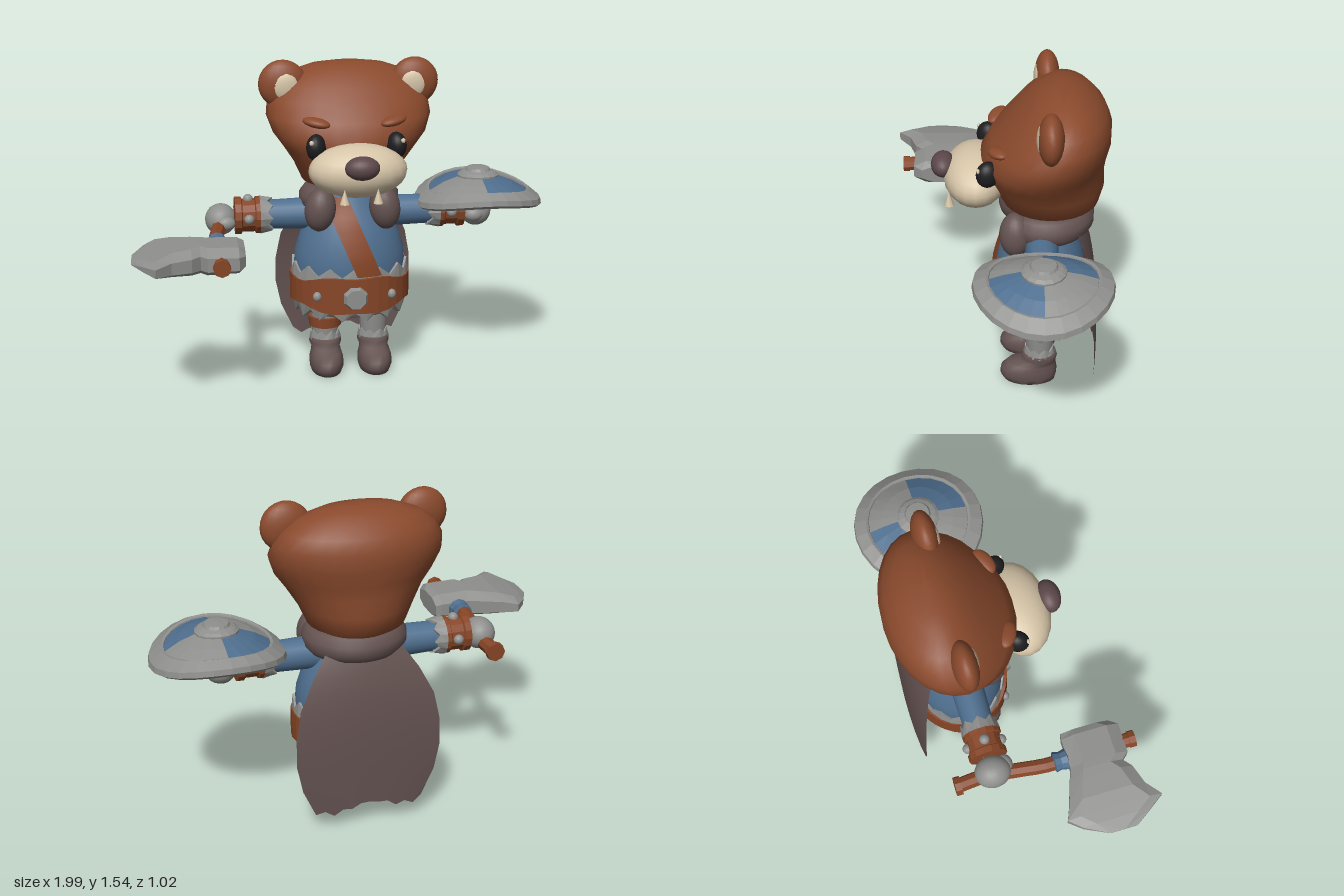
import * as THREE from 'three';

const mat = (name, color, side = THREE.FrontSide) =>
  Object.assign(new THREE.MeshStandardMaterial({ color, side }), { name });
const FUR = mat('fur brown', 0x8a4a2d), LEATHER = mat('leather brown', 0x874627), CREAM = mat('cream', 0xd6c5a8);
const CLOTH = mat('tunic blue', 0x4f6f8f), STEEL = mat('steel grey', 0x8f8f8d);
const DARK = mat('dark brown', 0x635250, THREE.DoubleSide), NOSE = mat('nose', 0x5c474a), BLACK = mat('eye black', 0x1d1d20);
const V = (x, y, z) => new THREE.Vector3(x, y, z);
const V2 = (a) => a.map(([x, y]) => new THREE.Vector2(x, y));

function add(parent, name, geo, material, pos = [0, 0, 0], scale = [1, 1, 1], rot = [0, 0, 0]) {
  const m = new THREE.Mesh(geo, material);
  m.name = name;
  m.position.set(...pos); m.scale.set(...scale); m.rotation.set(...rot);
  parent.add(m);
  return m;
}
const ball = (parent, name, material, pos, radii, rot) =>
  add(parent, name, new THREE.SphereGeometry(1, 20, 14), material, pos, radii, rot);
function flat(geo) {
  const g = geo.index ? geo.toNonIndexed() : geo;
  g.computeVertexNormals();
  return g;
}

// Skin over a list of closed rings, optionally capped at both ends
function loft(rings, caps = true) {
  const n = rings[0].length, pts = rings.flat(), idx = [];
  for (let i = 0; i < rings.length - 1; i++)
    for (let j = 0; j < n; j++) {
      const a = i * n + j, b = i * n + (j + 1) % n;
      idx.push(a, a + n, b, b, a + n, b + n);
    }
  if (caps) {
    const top = (rings.length - 1) * n;
    for (let j = 1; j < n - 1; j++) idx.push(0, j, j + 1, top, top + j + 1, top + j);
  }
  const g = new THREE.BufferGeometry().setFromPoints(pts);
  g.setIndex(idx);
  g.computeVertexNormals();
  return g;
}
// Upright body from rows of [height, half width, front z, back z]
const stack = (rows, n = 28) => loft(rows.map(([y, w, f, b]) => Array.from({ length: n }, (_, j) => {
  const a = j / n * Math.PI * 2;
  return V(w * Math.cos(a), y, (f + b) / 2 + (f - b) / 2 * Math.sin(a));
})));
// Thick ring around y, with its two edges given as functions of the corner index and angle
function band(r0, r1, lo, hi, n, t = 0.025) {
  const ring = (r, fy) => Array.from({ length: n }, (_, j) => {
    const a = j / n * Math.PI * 2;
    return V(r * Math.cos(a), fy(j, a), r * Math.sin(a));
  });
  const first = ring(r0, lo);
  return flat(loft([first, ring(r1, hi), ring(r1 - t, hi), ring(r0 - t, lo), first], false));
}
const zig = (y, amp) => (j) => y + (j % 2) * amp;
const level = (y) => () => y;

function buildHead(body) {
  const head = new THREE.Group(); head.name = 'head'; body.add(head);
  add(head, 'skull', stack([
    [0.92, 0.15, -0.12, -0.40], [0.96, 0.225, -0.02, -0.465], [1.05, 0.265, 0.03, -0.488], [1.13, 0.315, 0.07, -0.482],
    [1.2, 0.365, 0.08, -0.492], [1.28, 0.395, 0.035, -0.51], [1.36, 0.385, -0.04, -0.51], [1.42, 0.345, -0.09, -0.485],
    [1.47, 0.28, -0.15, -0.44], [1.505, 0.18, -0.2, -0.38], [1.518, 0.08, -0.25, -0.33]]), FUR);
  ball(head, 'muzzle', CREAM, [0, 1.08, 0.1], [0.23, 0.125, 0.15]);
  ball(head, 'nose', NOSE, [0, 1.128, 0.25], [0.08, 0.055, 0.056]);
  for (const s of [-1, 1]) {
    ball(head, 'ear', FUR, [s * 0.315, 1.425, -0.228], [0.115, 0.115, 0.058]);
    ball(head, 'innerEar', CREAM, [s * 0.305, 1.42, -0.187], [0.062, 0.066, 0.022]);
    ball(head, 'eye', BLACK, [s * 0.187, 1.18, 0.045], [0.045, 0.062, 0.055], [0, s * 0.4, 0]);
    ball(head, 'eyeGlint', CREAM, [s * 0.212, 1.21, 0.088], [0.011, 0.012, 0.008]);
    ball(head, 'brow', FUR, [s * 0.18, 1.285, 0.0], [0.068, 0.023, 0.04], [0, s * 0.45, s * 0.15]);
    add(head, 'fang', new THREE.ConeGeometry(0.023, 0.07, 8), CREAM, [s * 0.077, 0.99, 0.222]);
  }
}

// Tunic outline, also followed by the shoulder strap
const TUNIC = [[0.27, 0.45], [0.272, 0.55], [0.265, 0.62], [0.24, 0.7], [0.205, 0.78], [0.16, 0.85], [0.12, 0.94]];
function tunicRadius(y) {
  const i = Math.max(1, TUNIC.findIndex((p) => p[1] >= y));
  const [r0, y0] = TUNIC[i - 1], [r1, y1] = TUNIC[i];
  return r0 + (r1 - r0) * (y - y0) / (y1 - y0);
}

function buildTorso(body) {
  const torso = new THREE.Group(); torso.name = 'torso'; torso.position.z = -0.2; body.add(torso);
  const squash = [1, 1, 0.8];
  add(torso, 'tunic', new THREE.LatheGeometry(V2(TUNIC), 28), CLOTH, [0, 0, 0], squash);
  add(torso, 'mailSkirt', new THREE.LatheGeometry(V2([[0.001, 0.27], [0.13, 0.28], [0.22, 0.31], [0.26, 0.36], [0.27, 0.42]]), 24),
    STEEL, [0, 0, 0], squash);
  add(torso, 'upperTrim', band(0.29, 0.282, level(0.48), zig(0.525, 0.045), 28), STEEL, [0, 0, 0], squash);
  add(torso, 'lowerTrim', band(0.265, 0.285, zig(0.3, 0.045), level(0.39), 28), STEEL, [0, 0, 0], squash);
  // Belt widens at the front
  const bulge = (a) => 0.03 * Math.max(0, Math.sin(a)) ** 4 + 0.008 * Math.cos(6 * a);
  add(torso, 'belt', band(0.293, 0.293, (j, a) => 0.375 - bulge(a), (j, a) => 0.5 + bulge(a), 32, 0.04), LEATHER,
    [0, 0, 0], [1, 1, 0.83]);
  add(torso, 'buckle', flat(new THREE.CylinderGeometry(0.05, 0.066, 0.03, 8)), STEEL, [0, 0.43, 0.247],
    [1, 1, 1], [Math.PI / 2, Math.PI / 8, 0]);
  for (const s of [-1, 1]) ball(torso, 'beltStud', STEEL, [s * 0.18, 0.432, 0.195], [0.021, 0.024, 0.02]);
  // Diagonal strap, front and back
  for (const s of [1, -1]) {
    const g = new THREE.PlaneGeometry(1, 1, 4, 12), p = g.attributes.position;
    for (let i = 0; i < p.count; i++) {
      const y = 0.715 + p.getY(i) * 0.37, x = -0.085 + (0.9 - y) * 0.42 + p.getX(i) * 0.12;
      const r = tunicRadius(y) + 0.015;
      p.setXYZ(i, s * x, y, 0.8 * Math.sqrt(Math.max(0.0004, r * r - x * x)));
    }
    g.computeVertexNormals();
    if (s < 0) {
      // Turned half way round so the strap runs over the same shoulder
      add(torso, 'strapBack', g, LEATHER, [0, 0, 0], [1, 1, 1], [0, Math.PI, 0]);
      for (let i = 0; i < p.count; i++) p.setX(i, p.getX(i));
      g.index.array.reverse();
      g.computeVertexNormals();
    } else add(torso, 'strapFront', g, LEATHER);
  }
  // Fur collar, open at the front
  const path = new THREE.CatmullRomCurve3(Array.from({ length: 9 }, (_, i) => {
    const a = -0.9 + i / 8 * (Math.PI + 1.8);
    return V(0.175 * Math.cos(a), 0.87, -0.02 - 0.16 * Math.sin(a));
  }));
  add(torso, 'collar', new THREE.TubeGeometry(path, 24, 0.07, 10), DARK);
  for (const s of [-1, 1])
    ball(torso, 'collarPuff', DARK, [s * 0.155, 0.845, 0.12], [0.075, 0.107, 0.075], [0, 0, s * 0.12]);
}

function buildCape(body) {
  const widths = [0.255, 0.315, 0.342, 0.34, 0.315, 0.25, 0.16];
  const g = new THREE.PlaneGeometry(1, 1, 12, 12), p = g.attributes.position;
  for (let i = 0; i < p.count; i++) {
    const u = p.getX(i) * 2, v = p.getY(i) + 0.5, k = Math.min(5, Math.floor(v * 6));
    const w = THREE.MathUtils.lerp(widths[k], widths[k + 1], v * 6 - k);
    const hem = 0.085 + 0.04 * Math.cos(u * 2.2) ** 2 + 0.012 * Math.sin(u * 17);
    p.setXYZ(i, u * w, THREE.MathUtils.lerp(hem, 0.88, v), -0.472 + 0.1 * v ** 4 + 0.018 * u * u);
  }
  g.computeVertexNormals();
  add(body, 'cape', g, DARK);
}

function buildLimbs(body) {
  for (const s of [-1, 1]) {
    const leg = new THREE.Group(); leg.name = 'leg'; leg.position.x = s * 0.12; body.add(leg);
    add(leg, 'thigh', new THREE.CylinderGeometry(0.078, 0.062, 0.24, 16), STEEL, [0, 0.27, -0.2]);
    add(leg, 'bootTrim', band(0.078, 0.07, level(0.15), zig(0.18, 0.02), 16), STEEL, [0, 0, -0.2]);
    add(leg, 'boot', stack([[0, 0.074, -0.03, -0.278], [0.03, 0.083, -0.012, -0.285], [0.065, 0.083, -0.015, -0.285],
      [0.095, 0.074, -0.045, -0.28], [0.11, 0.07, -0.11, -0.28], [0.135, 0.08, -0.116, -0.286], [0.16, 0.076, -0.122, -0.28]], 20), DARK);
    if (s < 0) add(leg, 'kneeStrap', new THREE.CylinderGeometry(0.084, 0.08, 0.05, 14), LEATHER, [0, 0.245, -0.2]);

    // Arm runs outwards along its own y axis
    const arm = new THREE.Group(); arm.name = 'arm';
    arm.position.set(0, 0.795, -0.2); arm.rotation.z = -s * Math.PI / 2; body.add(arm);
    add(arm, 'sleeve', new THREE.CylinderGeometry(0.07, 0.08, 0.34, 18), CLOTH, [0, 0.25, 0]);
    add(arm, 'cuff', band(0.084, 0.092, zig(0.375, 0.025), level(0.435), 16), STEEL);
    add(arm, 'bracer', flat(new THREE.LatheGeometry(V2([[0.05, 0.425], [0.09, 0.43], [0.09, 0.455], [0.08, 0.46], [0.08, 0.52],
      [0.09, 0.525], [0.09, 0.555], [0.04, 0.56]]), 14)), LEATHER);
    for (const [x, z] of [[0, 1], [-s, 0], [0, -1]])
      ball(arm, 'bracerStud', STEEL, [x * 0.08, 0.49, z * 0.08], [0.024, 0.024, 0.024]);
    ball(arm, 'hand', STEEL, [s * 0.015, 0.622, 0], [0.075, 0.075, 0.085]);
    ball(arm, 'thumb', STEEL, [s * 0.02, 0.6, 0.065], [0.035, 0.045, 0.035]);
  }
}

function buildAxe(root) {
  const axe = new THREE.Group(); axe.name = 'axe'; axe.position.y = 0.755; root.add(axe);
  const path = new THREE.CatmullRomCurve3([V(-0.585, 0, -0.375), V(-0.575, 0, -0.25), V(-0.59, 0, -0.1),
    V(-0.608, 0, 0.05), V(-0.602, 0, 0.2), V(-0.6, 0, 0.465)]);
  add(axe, 'handle', flat(new THREE.TubeGeometry(path, 16, 0.035, 8)), LEATHER);
  for (const [z, x, r] of [[-0.37, -0.585, 0.045], [0.46, -0.6, 0.04]])
    add(axe, 'handleEnd', flat(new THREE.CylinderGeometry(r, r, 0.03, 8)), LEATHER, [x, 0, z], [1, 1, 1], [Math.PI / 2, 0, 0]);
  add(axe, 'wrap', flat(new THREE.LatheGeometry(V2([[0.03, -0.035], [0.048, -0.03], [0.042, 0], [0.05, 0.03], [0.03, 0.035]]), 10)),
    CLOTH, [-0.605, 0, 0.115], [1, 1, 1], [Math.PI / 2, 0, 0]);
  // Blade slices: x, back z, front z, half thickness
  const slices = [[-0.995, 0.23, 0.36, 0.003], [-0.94, 0.12, 0.44, 0.025], [-0.89, 0.06, 0.51, 0.038], [-0.82, 0.09, 0.45, 0.055],
    [-0.73, 0.12, 0.42, 0.062], [-0.69, 0.135, 0.385, 0.064], [-0.66, 0.145, 0.42, 0.064], [-0.52, 0.145, 0.42, 0.06], [-0.49, 0.15, 0.38, 0.045]];
  add(axe, 'blade', flat(loft(slices.map(([x, a, b, h]) => [V(x, h * 0.5, b), V(x, h, b - 0.06), V(x, h, a + 0.06), V(x, h * 0.5, a),
    V(x, -h * 0.5, a), V(x, -h, a + 0.06), V(x, -h, b - 0.06), V(x, -h * 0.5, b)]))), STEEL);
}

function buildShield(root) {
  const shield = new THREE.Group(); shield.name = 'shield'; shield.position.set(0.68, 0, -0.195); root.add(shield);
  // Turned part, then arched down towards its two sides
  const turned = (name, profile, material, segs = 24, start = 0, len = Math.PI * 2) => {
    const g = new THREE.LatheGeometry(V2(profile), segs, start, len), p = g.attributes.position;
    for (let i = 0; i < p.count; i++) p.setY(i, p.getY(i) - 0.65 * p.getX(i) ** 2);
    add(shield, name, flat(g), material);
  };
  turned('rim', [[0.001, 0.9], [0.15, 0.895], [0.25, 0.885], [0.295, 0.87], [0.31, 0.885], [0.305, 0.91], [0.25, 0.935], [0.238, 0.93], [0.23, 0.9]], STEEL);
  for (let q = 0; q < 4; q++)
    turned('panel', [[0.24, 0.922], [0.17, 0.945], [0.09, 0.962]], q % 2 ? STEEL : CLOTH, 6, q * Math.PI / 2, Math.PI / 2);
  turned('boss', [[0.1, 0.95], [0.1, 0.968], [0.085, 0.978], [0.062, 0.985], [0.055, 0.997], [0.001, 1.0]], STEEL, 16);
  ball(shield, 'grip', NOSE, [0.06, 0.835, 0], [0.075, 0.045, 0.05], [0, 0, 0.2]);
}

export function createModel() {
  const root = new THREE.Group(); root.name = 'bearWarrior';
  const body = new THREE.Group(); body.name = 'body'; body.position.x = 0.05; root.add(body);
  buildHead(body);
  buildTorso(body);
  buildCape(body);
  buildLimbs(body);
  buildAxe(root);
  buildShield(root);
  return root;
}
